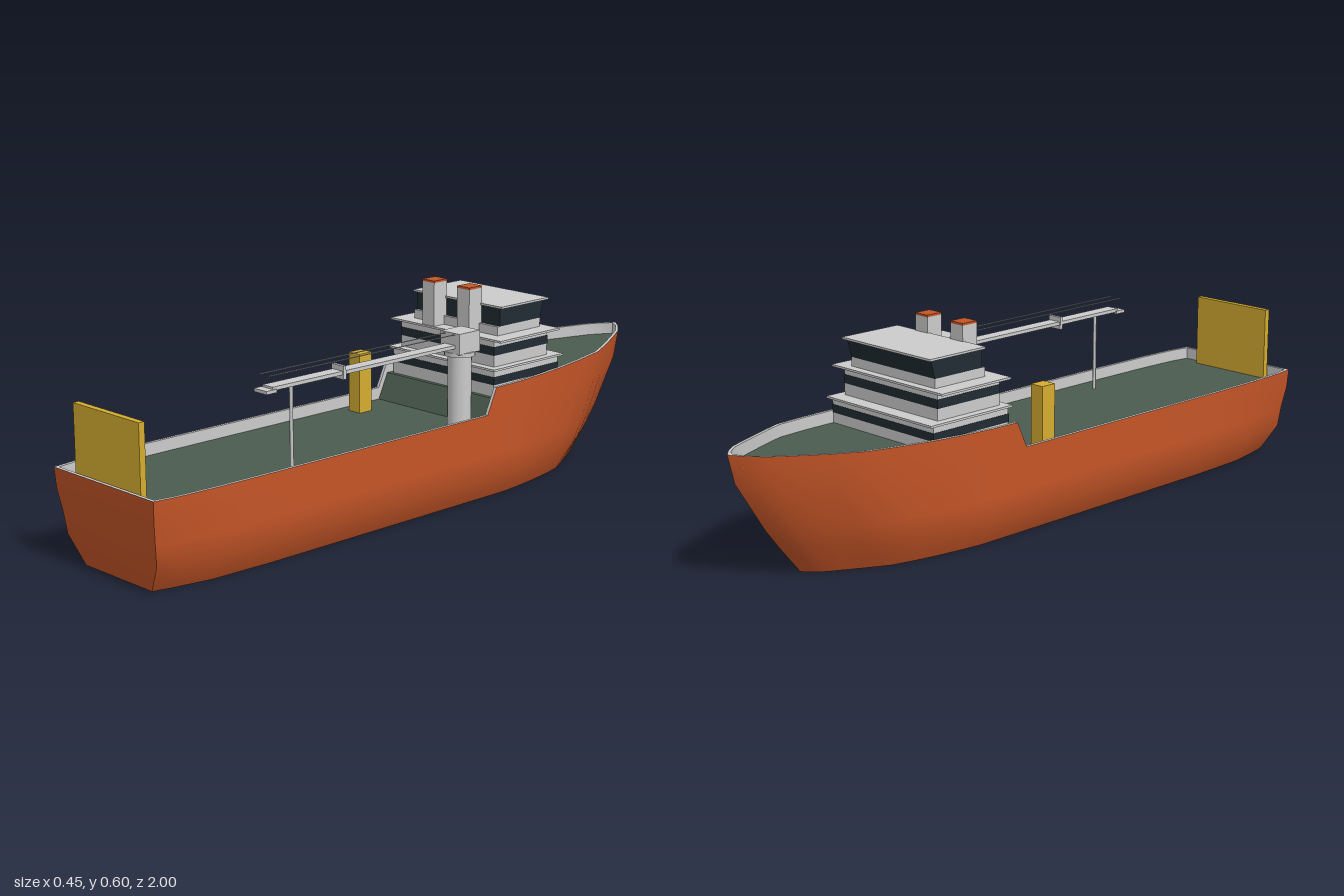
import * as THREE from 'three';
import { toCreasedNormals } from 'three/addons/utils/BufferGeometryUtils.js';

const mat = (color) => new THREE.MeshStandardMaterial({ color, side: THREE.DoubleSide });
const grey = mat(0xcccccc), orange = mat(0xc45527), yellow = mat(0xd6ad30);
const green = mat(0x4c5c50), glass = mat(0x202c32);

// Skin between rows of points [x, y, z]
function loft(rows) {
  const n = rows[0].length, index = [];
  for (let i = 0; i < rows.length - 1; i++) {
    for (let j = 0; j < n - 1; j++) {
      const a = i * n + j, b = a + 1, c = b + n, d = a + n;
      index.push(a, b, c, a, c, d);
    }
  }
  const geo = new THREE.BufferGeometry();
  geo.setAttribute('position', new THREE.Float32BufferAttribute(rows.flat(2), 3));
  geo.setIndex(index);
  return toCreasedNormals(geo, 0.65);
}

function add(parent, name, geo, material) {
  const mesh = new THREE.Mesh(geo, material);
  mesh.name = name;
  parent.add(mesh);
  return mesh;
}

// Box given by its limits on each axis
function box(parent, name, material, [x0, x1], [y0, y1], [z0, z1]) {
  const mesh = add(parent, name, new THREE.BoxGeometry(x1 - x0, y1 - y0, z1 - z0), material);
  mesh.position.set((x0 + x1) / 2, (y0 + y1) / 2, (z0 + z1) / 2);
  return mesh;
}

function rod(parent, name, radius, from, to, sides = 8) {
  const a = new THREE.Vector3(...from), b = new THREE.Vector3(...to);
  const mesh = add(parent, name, new THREE.CylinderGeometry(radius, radius, a.distanceTo(b), sides), grey);
  mesh.position.copy(a).add(b).multiplyScalar(0.5);
  mesh.quaternion.setFromUnitVectors(new THREE.Vector3(0, 1, 0), b.sub(a).normalize());
  return mesh;
}

// Stations from stern to bow: z, half width at the rail, rail height
const stations = [
  [1, 0.208, 0.26], [0.93, 0.218, 0.26], [0.8, 0.224, 0.26], [0.6, 0.226, 0.26], [0.2, 0.226, 0.26],
  [-0.17, 0.226, 0.26], [-0.205, 0.226, 0.335], [-0.3, 0.225, 0.336], [-0.4, 0.22, 0.338],
  [-0.5, 0.211, 0.341], [-0.6, 0.198, 0.345], [-0.7, 0.18, 0.349], [-0.78, 0.145, 0.352],
  [-0.86, 0.105, 0.356], [-0.93, 0.069, 0.36], [-0.97, 0.035, 0.363], [-1, 0, 0.365],
];

// Hull levels from keel to rail: height, end z and width ratios
const levels = [
  { y: () => 0, stern: 0.96, bow: -0.78, ratio: [0.667, 0.8, 0.68] },
  { y: () => 0.08, stern: 0.98, bow: -0.845, ratio: [0.9, 1, 0.85] },
  { y: () => 0.14, stern: 0.987, bow: -0.89, ratio: [0.93, 1, 0.92] },
  { y: (top) => 0.78 * top, stern: 0.997, bow: -0.98, ratio: [0.98, 1, 0.98] },
  { y: (top) => top, stern: 1, bow: -1, ratio: [1, 1, 1] },
];

function hullPoint([z, w, top], { y, stern, bow, ratio }) {
  const aft = Math.max(0, (z - 0.75) / 0.25), fore = Math.max(0, (-z - 0.3) / 0.7);
  const r = ratio[1] + (ratio[0] - ratio[1]) * aft + (ratio[2] - ratio[1]) * fore;
  return [w * r, y(top), z + (stern - 1) * aft + (bow + 1) * fore];
}

const mirror = ([x, y, z]) => [-x, y, z];

function buildHull(parent) {
  const sections = stations.map((s) => levels.map((l) => hullPoint(s, l)));
  add(parent, 'hull', loft(sections.map((p) => [...p.slice().reverse(), ...p.map(mirror)])), orange);
  add(parent, 'transom', loft(sections[0].map((p) => [mirror(p), p]).reverse()), orange);

  // Bulwark: flat rail and inner wall, with the deck below it
  const t = 0.01, depth = 0.035;
  const inner = stations.map(([z, w, y]) => [Math.max(0, w - t), y, Math.min(0.99, Math.max(-0.985, z))]);
  const foot = inner.map(([x, y, z]) => [x, y - depth, z]);
  for (const side of [1, -1]) {
    const flip = (p) => (side > 0 ? p : mirror(p));
    const rows = stations.map(([z, w, y], i) => [[w, y, z], inner[i], foot[i]].map(flip));
    add(parent, 'bulwark', loft(rows.map((r) => (side > 0 ? r.reverse() : r))), grey);
  }
  add(parent, 'sternBulwark', loft([
    [[-stations[0][1], 0.26, 1], [stations[0][1], 0.26, 1]],
    [mirror(inner[0]), inner[0]],
    [mirror(foot[0]), foot[0]],
  ]), grey);
  add(parent, 'deck', loft(foot.map((p) => [mirror(p), p])), green);
}

function buildHouse(parent) {
  const house = new THREE.Group();
  house.name = 'deckhouse';
  parent.add(house);
  const sym = (w) => [-w, w];

  // Two lower tiers: walls, window band and overhanging roof
  const tiers = [
    { w: 0.203, z: [-0.49, -0.218], y: [0.28, 0.376], band: [0.335, 0.358], roof: 0.211, roofZ: [-0.505, -0.21] },
    { w: 0.187, z: [-0.46, -0.235], y: [0.38, 0.458], band: [0.415, 0.44], roof: 0.221, roofZ: [-0.475, -0.225] },
  ];
  for (const { w, z, y, band, roof, roofZ } of tiers) {
    box(house, 'tierWalls', grey, sym(w), y, z);
    box(house, 'windowBand', glass, sym(w + 0.001), band, [z[0] - 0.001, z[1] + 0.001]);
    box(house, 'tierRoof', grey, sym(roof), [y[1], y[1] + 0.006], roofZ);
  }

  // Bridge with windows leaning out towards the bow
  box(house, 'bridgeBase', grey, sym(0.167), [0.463, 0.49], [-0.45, -0.27]);
  const windows = box(house, 'bridgeWindows', glass, sym(0.167), [0.49, 0.542], [-0.45, -0.28]);
  const p = windows.geometry.attributes.position;
  for (let i = 0; i < p.count; i++) {
    if (p.getY(i) > 0 && p.getZ(i) < 0) p.setZ(i, p.getZ(i) - 0.014);
  }
  windows.geometry.computeVertexNormals();
  box(house, 'bridgeRoof', grey, sym(0.176), [0.542, 0.548], [-0.475, -0.275]);

  // Twin funnels
  for (const x of [-0.07, 0.07]) {
    const span = [x - 0.024, x + 0.024];
    box(house, 'funnel', grey, span, [0.46, 0.592], [-0.281, -0.229]);
    box(house, 'funnelCap', orange, span, [0.592, 0.598], [-0.281, -0.229]);
  }
}

function buildCrane(parent) {
  const crane = new THREE.Group();
  crane.name = 'crane';
  parent.add(crane);
  const x = 0.151, z = -0.132;
  rod(crane, 'craneColumn', 0.034, [x, 0.22, z], [x, 0.435, z], 24);
  rod(crane, 'slewRing', 0.044, [x, 0.43, z], [x, 0.442, z], 24);
  box(crane, 'craneHousing', grey, [0.115, 0.188], [0.44, 0.5], [-0.175, -0.092]);
  box(crane, 'boom', grey, [0.131, 0.171], [0.456, 0.466], [-0.1, 0.58]);
  box(crane, 'boomCollar', grey, [0.128, 0.174], [0.443, 0.48], [0.325, 0.335]);
  box(crane, 'boomTip', grey, [0.126, 0.176], [0.451, 0.46], [0.57, 0.605]);
  rod(crane, 'boomRest', 0.005, [x, 0.22, 0.5], [x, 0.457, 0.5]);
  for (const dx of [-0.018, 0.018]) {
    rod(crane, 'cable', 0.0015, [x + dx, 0.496, -0.1], [x + dx, 0.496, 0.59], 6);
  }
}

export function createModel() {
  const ship = new THREE.Group();
  ship.name = 'supplyShip';
  buildHull(ship);
  buildHouse(ship);
  buildCrane(ship);
  // Yellow deck equipment
  box(ship, 'sternBoard', yellow, [-0.136, 0.136], [0.22, 0.442], [0.965, 0.983]);
  box(ship, 'deckLocker', yellow, [-0.182, -0.137], [0.22, 0.4], [-0.065, -0.017]);
  return ship;
}
